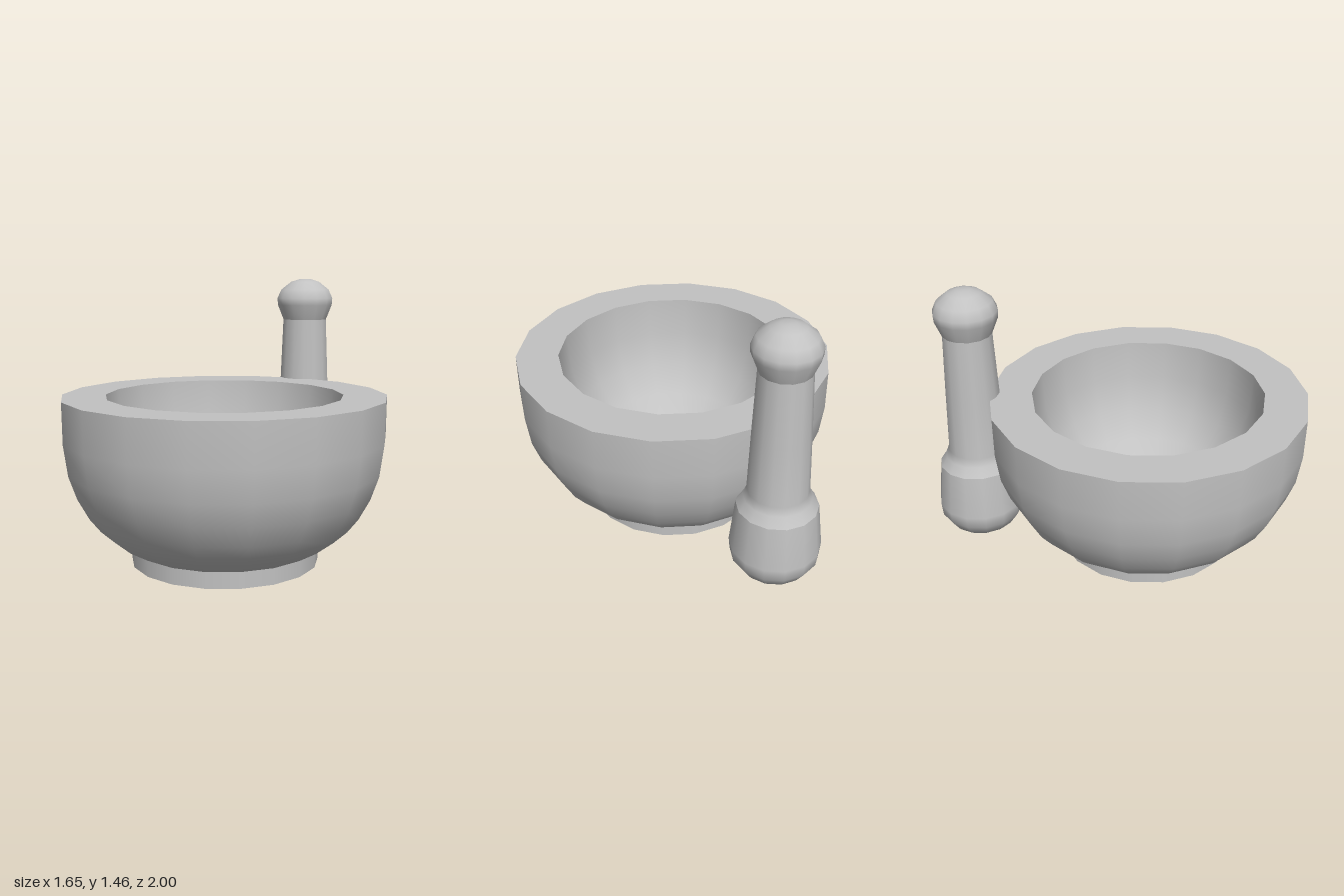
import * as THREE from 'three';

const stone = new THREE.MeshStandardMaterial({ color: 0xc2c2c2 });
stone.name = 'greyStone';

// Each section is one smooth lathe; separate sections keep the edges between them sharp.
function turned(name, sides, z, sections) {
  const group = new THREE.Group();
  group.name = name;
  group.position.z = z;
  for (const [part, profile] of Object.entries(sections)) {
    const points = profile.map(([r, y]) => new THREE.Vector2(r, y));
    const mesh = new THREE.Mesh(new THREE.LatheGeometry(points, sides), stone);
    mesh.name = part;
    group.add(mesh);
  }
  return group;
}

export function createModel() {
  const model = new THREE.Group();
  model.name = 'mortarAndPestle';

  model.add(turned('mortar', 18, 0.16, {
    footBase: [[0, 0], [0.493, 0]],
    footSide: [[0.493, 0], [0.493, 0.084]],
    bowlOutside: [
      [0.493, 0.084], [0.59, 0.14], [0.66, 0.203], [0.716, 0.274],
      [0.774, 0.38], [0.816, 0.5], [0.838, 0.66], [0.84, 0.874],
    ],
    rim: [[0.84, 0.874], [0.614, 0.874]],
    bowlInside: [[0.614, 0.874], [0.6, 0.66], [0.545, 0.47], [0.445, 0.32], [0.306, 0.22]],
    bowlFloor: [[0.306, 0.22], [0, 0.22]],
  }));

  model.add(turned('pestle', 14, -0.767, {
    grinder: [
      [0, 0.02], [0.07, 0.022], [0.18, 0.08], [0.227, 0.15], [0.233, 0.215], [0.206, 0.457],
    ],
    shoulder: [[0.206, 0.457], [0.172, 0.508], [0.155, 0.55], [0.143, 0.88], [0.129, 1.22]],
    knob: [
      [0.129, 1.22], [0.163, 1.305], [0.166, 1.345], [0.143, 1.395],
      [0.085, 1.44], [0.037, 1.455], [0, 1.456],
    ],
  }));

  return model;
}
